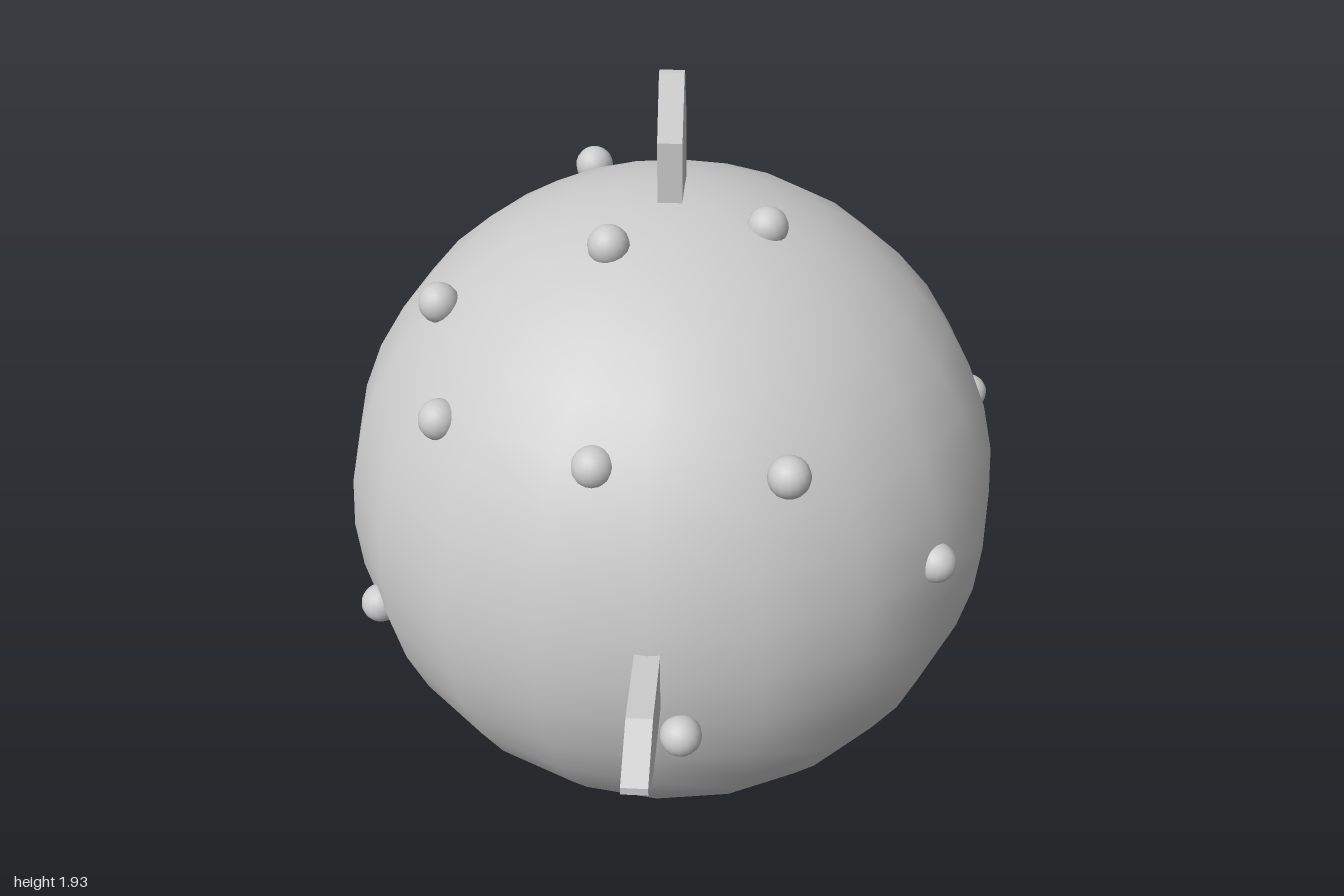
import * as THREE from 'three';

const CENTRE_Y = 0.968;
const material = new THREE.MeshStandardMaterial({ color: 0xcccccc });

// Flat blade with a tapered, slightly blunt tip, pointing along +y
function bladeGeometry(root, shoulder, tip) {
  const w = 0.067, t = 0.008;
  const shape = new THREE.Shape([
    [-w, root], [w, root], [w, shoulder], [t, tip], [-t, tip], [-w, shoulder],
  ].map(([x, y]) => new THREE.Vector2(x, y)));
  const geometry = new THREE.ExtrudeGeometry(shape, { depth: 0.05, bevelEnabled: false });
  geometry.translate(0, 0, -0.025);
  geometry.rotateY(Math.PI / 2); // blade lies in the y-z plane
  return geometry;
}

export function createModel() {
  const model = new THREE.Group();
  model.name = 'spikedBall';

  function add(name, geometry, x, y, z, parent = model) {
    const mesh = new THREE.Mesh(geometry, material);
    mesh.name = name;
    mesh.position.set(x, y, z);
    parent.add(mesh);
    return mesh;
  }

  // Main ball
  add('ball', new THREE.SphereGeometry(0.718, 20, 20), 0, CENTRE_Y, 0);

  // Four blades: up, down, front and back
  const upright = bladeGeometry(0.62, 0.842, 0.964);
  const level = bladeGeometry(0.62, 0.884, 1);
  add('topBlade', upright, 0, 0.964, 0);
  add('bottomBlade', upright, 0, 0.964, 0).rotation.x = Math.PI;
  add('frontBlade', level, 0, 0.978, 0).rotation.x = Math.PI / 2;
  add('backBlade', level, 0, 0.978, 0).rotation.x = -Math.PI / 2;

  // Small round studs scattered over the ball
  const studs = new THREE.Group();
  studs.name = 'studs';
  model.add(studs);
  const studGeometry = new THREE.SphereGeometry(0.042, 16, 12);
  [
    [-0.11, 1.65, 0.205], [0.197, 1.65, 0.1], [-0.46, 1.5, 0.18],
    [-0.43, 1.36, 0.4], [-0.11, 1.37, 0.56], [0.255, 1.36, 0.555],
    [0.56, 1.075, 0.42], [-0.61, 0.85, 0.345], [0.065, 0.85, 0.715],
    [0.56, 0.51, 0], [-0.29, 0.31, 0.09], [-0.46, 1.33, -0.42],
    [-0.2, 1.575, -0.36], [0.36, 1.31, -0.525], [0.055, 0.85, -0.765],
    [0.68, 1.08, -0.245], [-0.61, 0.85, -0.34], [0, 0.5, -0.565],
    [-0.3, 0.37, -0.27],
  ].forEach(([x, y, z], i) => add(`stud${i + 1}`, studGeometry, x, y, z, studs));

  return model;
}
